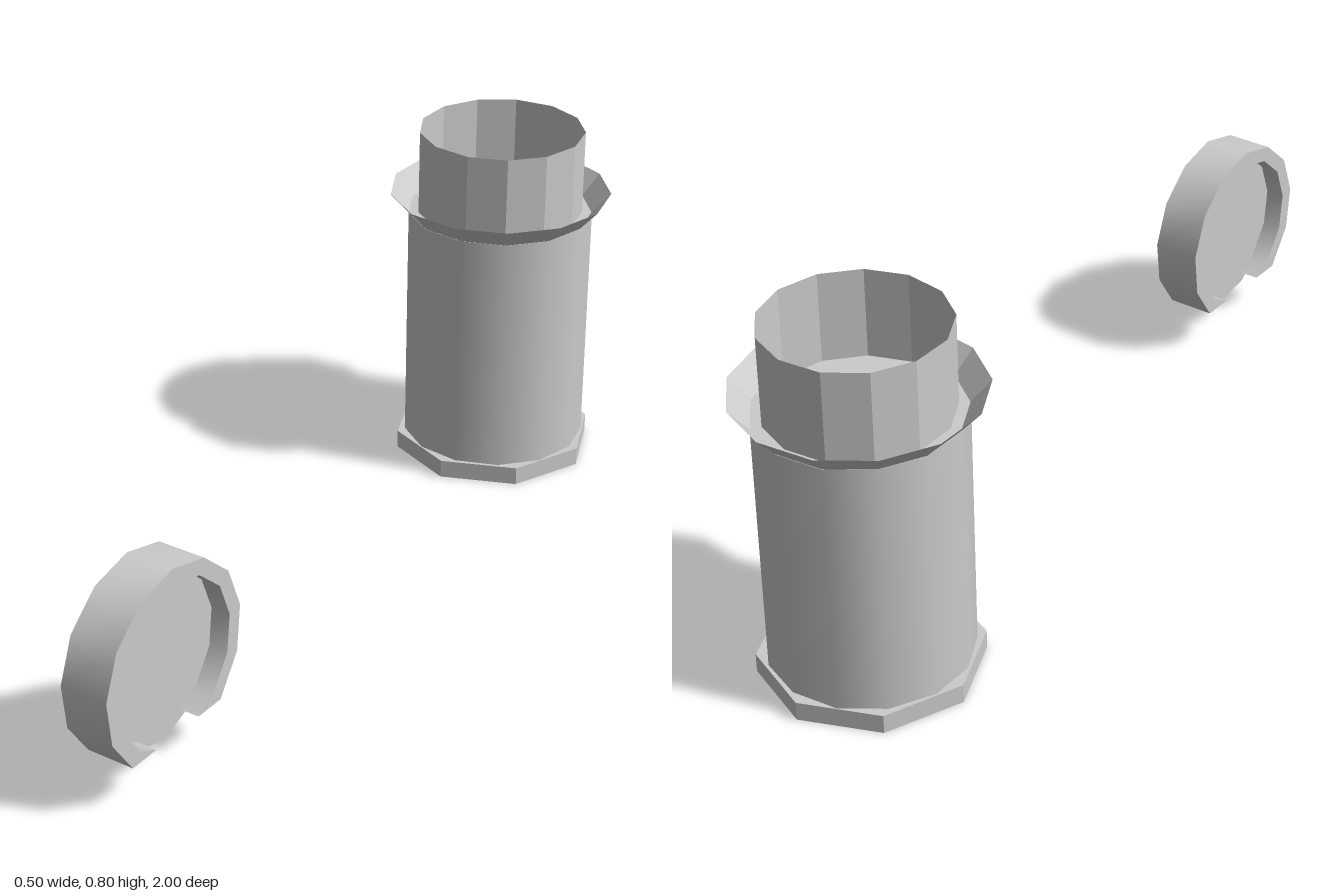
import * as THREE from 'three';
import { toCreasedNormals } from 'three/addons/utils/BufferGeometryUtils.js';

const SIDES = 13;
const STEP = (Math.PI * 2) / SIDES;

const smooth = new THREE.MeshStandardMaterial({ color: 0xcccccc, side: THREE.DoubleSide });
const faceted = new THREE.MeshStandardMaterial({ color: 0xcccccc, side: THREE.DoubleSide, flatShading: true });

function add(parent, name, geometry, material) {
  const mesh = new THREE.Mesh(geometry, material);
  mesh.name = name;
  parent.add(mesh);
  return mesh;
}

// Upright prism or cone between two heights, with a corner on +x
function drum(rTop, rBottom, y0, y1, sides, open) {
  return new THREE.CylinderGeometry(rTop, rBottom, y1 - y0, sides, 1, open)
    .rotateY(Math.PI / 2)
    .translate(0, (y0 + y1) / 2, 0);
}

// Rim outline: polygon ring with its bottom sliced off level
function rimShape(outer, inner) {
  const first = Math.PI / 2 - 5 * STEP;
  const point = (r, i) => new THREE.Vector2(r * Math.cos(first + i * STEP), r * Math.sin(first + i * STEP));
  const points = [];
  for (let i = 0; i <= 10; i++) points.push(point(outer, i));
  const cutY = points[0].y;
  // Where the inner polygon meets the level cut
  const a = point(inner, 0), b = point(inner, -1);
  const cutX = a.x + (b.x - a.x) * (cutY - a.y) / (b.y - a.y);
  points.push(new THREE.Vector2(-cutX, cutY));
  for (let i = 10; i >= 0; i--) points.push(point(inner, i));
  points.push(new THREE.Vector2(cutX, cutY));
  return new THREE.Shape(points);
}

export function createModel() {
  const model = new THREE.Group();

  // Tower: octagonal foot, smooth body, flared collar and open neck
  const tower = new THREE.Group();
  tower.name = 'tower';
  tower.position.set(-0.005, 0, -0.745);
  model.add(tower);
  add(tower, 'foot', drum(0.233, 0.233, 0, 0.042, 8, false), faceted);
  add(tower, 'body', drum(0.213, 0.213, 0.03, 0.604, SIDES, false), smooth);
  add(tower, 'collar', drum(0.255, 0.212, 0.604, 0.652, SIDES, true), faceted);
  add(tower, 'neck', drum(0.19, 0.19, 0.604, 0.8, SIDES, true), faceted);

  // Separate wheel: cut rim around a thin disc, axis along x
  const wheel = new THREE.Group();
  wheel.name = 'wheel';
  wheel.position.set(0.15, 0.258, 0.788);
  model.add(wheel);
  const rim = new THREE.ExtrudeGeometry(rimShape(0.212, 0.177), { depth: 0.108, bevelEnabled: false })
    .translate(0, 0, -0.054)
    .rotateY(Math.PI / 2);
  add(wheel, 'rim', toCreasedNormals(rim, 0.5), smooth);
  // Disc with one corner pointing down
  const disc = new THREE.CylinderGeometry(0.196, 0.196, 0.02, SIDES)
    .rotateY(Math.PI / 2)
    .rotateZ(Math.PI / 2)
    .rotateX(Math.PI / 2);
  disc.computeBoundingBox();
  if (disc.boundingBox.min.y > -0.1955) disc.rotateX(Math.PI);
  add(wheel, 'disc', disc, faceted);

  return model;
}
